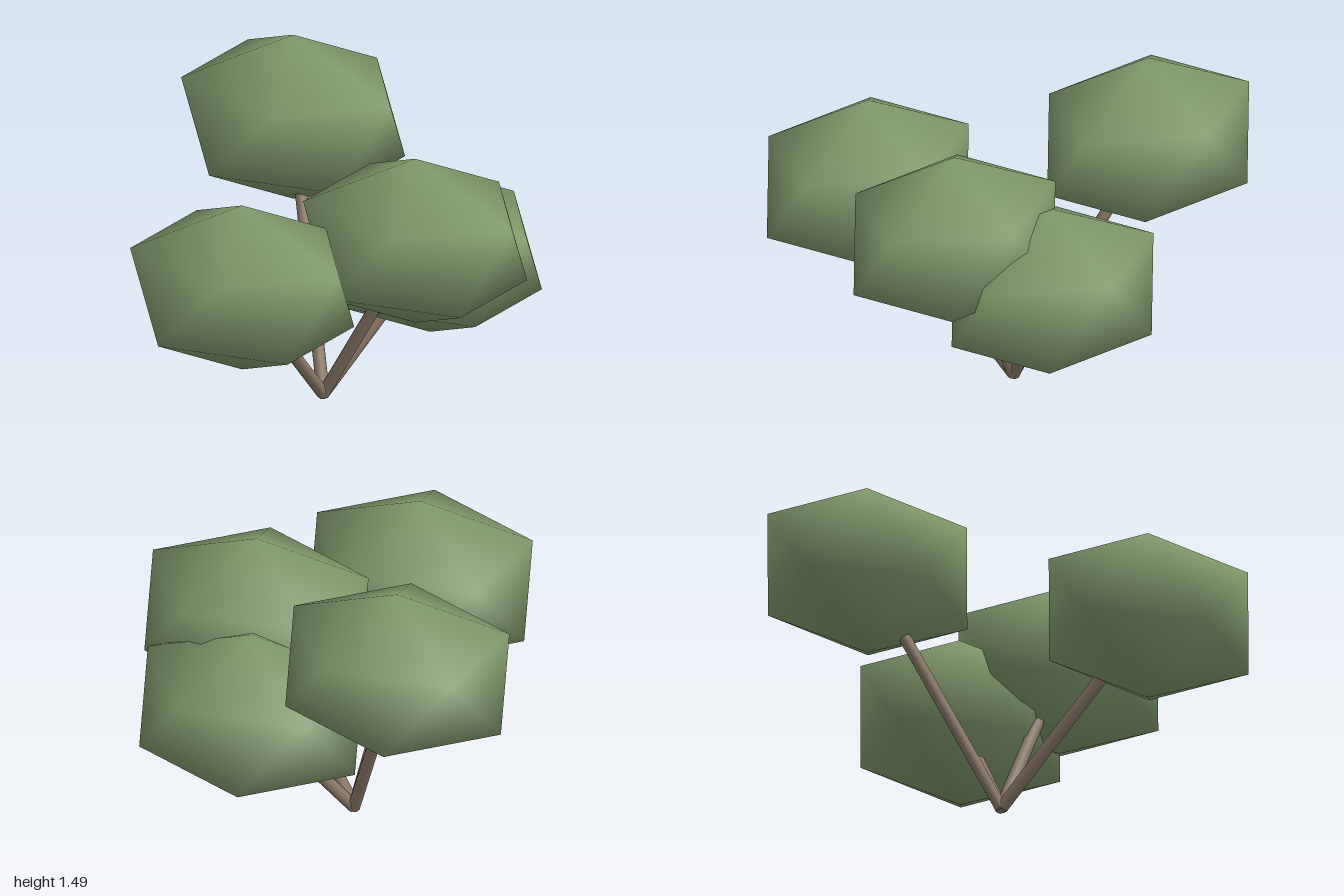
import * as THREE from 'three';

// Icosahedron standing on a pole: two staggered five-sided rings and two tips
function crownGeometry(rx, ry, rz) {
  const pos = [0, 1, 0, 0, -1, 0];
  const index = [];
  const h = 1 / Math.sqrt(5), r = 2 * h;
  for (let i = 0; i < 5; i++) {
    const a = (i * 2 * Math.PI) / 5, b = a + Math.PI / 5;
    pos.push(r * Math.cos(a), h, r * Math.sin(a));
    pos.push(r * Math.cos(b), -h, r * Math.sin(b));
    const u = 2 + 2 * i, l = u + 1;
    const u2 = 2 + 2 * ((i + 1) % 5), l2 = u2 + 1;
    index.push(0, u2, u, u, u2, l, l, u2, l2, 1, l, l2);
  }
  const g = new THREE.BufferGeometry();
  g.setAttribute('position', new THREE.Float32BufferAttribute(pos, 3));
  g.setIndex(index);
  g.scale(rx, ry, rz);
  g.computeVertexNormals(); // shared vertices give soft shading
  return g;
}

export function createModel() {
  const tree = new THREE.Group();
  tree.name = 'tree';
  const leaf = new THREE.MeshStandardMaterial({ color: 0x7f996b });
  const bark = new THREE.MeshStandardMaterial({ color: 0x8c7a68 });
  const crown = crownGeometry(0.587, 0.395, 0.491);
  const root = new THREE.Vector3(-0.022, 0.02, -0.155);
  const up = new THREE.Vector3(0, 1, 0);

  const centres = {
    front: [0.045, 0.805, 0.57],
    left: [0.47, 0.877, -0.16],
    right: [-0.475, 1.097, -0.572],
    back: [0.277, 0.647, -0.552],
  };

  for (const [side, c] of Object.entries(centres)) {
    const centre = new THREE.Vector3(...c);

    // Leaf mass
    const foliage = new THREE.Mesh(crown, leaf);
    foliage.name = side + 'Foliage';
    foliage.position.copy(centre);
    tree.add(foliage);

    // Branch from the shared root to the middle of the leaf mass
    const dir = centre.clone().sub(root);
    const branch = new THREE.Mesh(new THREE.CylinderGeometry(0.029, 0.029, dir.length(), 8), bark);
    branch.name = side + 'Branch';
    branch.position.copy(root).addScaledVector(dir, 0.5);
    branch.quaternion.setFromUnitVectors(up, dir.normalize());
    tree.add(branch);
  }
  return tree;
}
